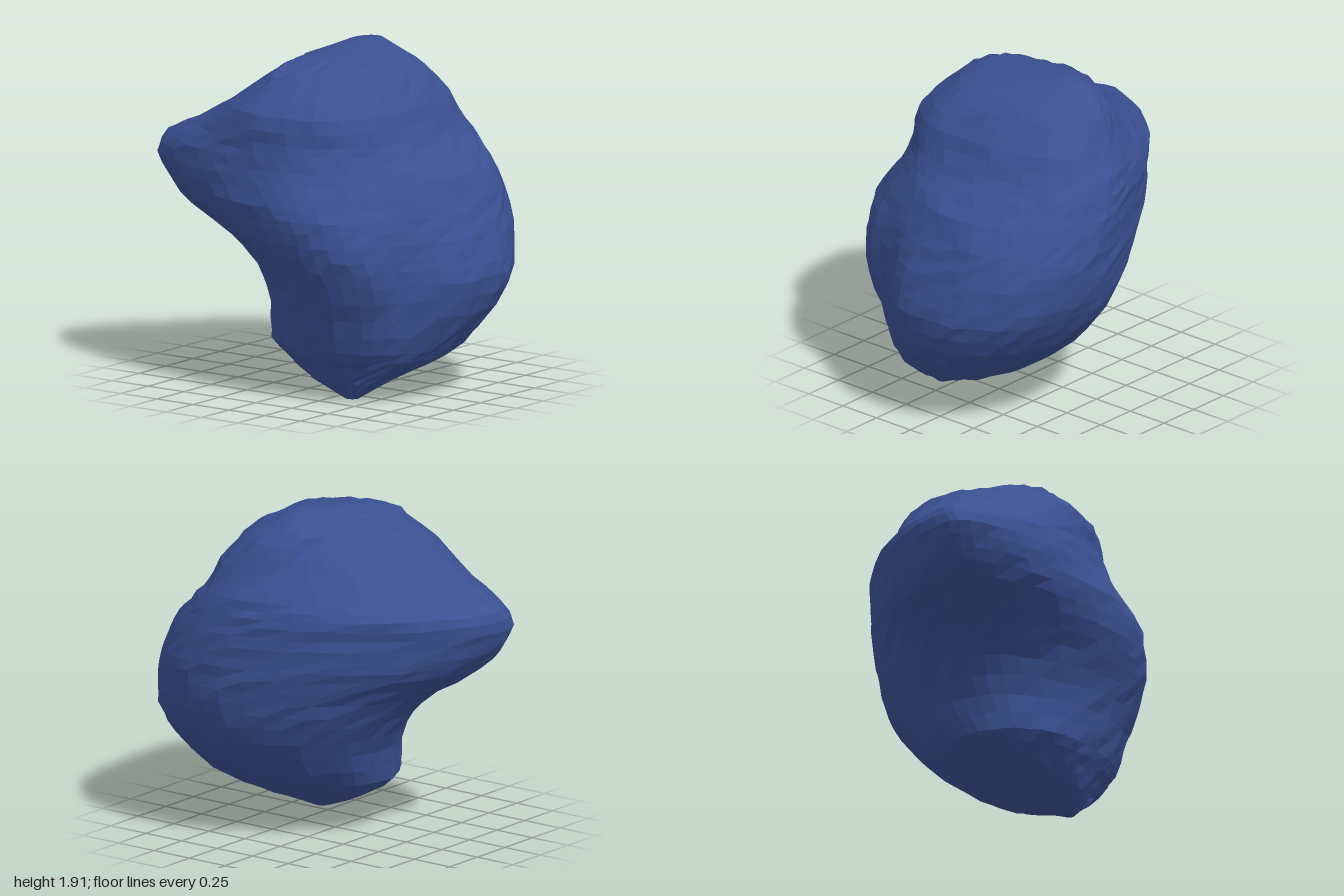
import * as THREE from 'three';

// Horizontal slices, bottom to top. Each gives its height and four extremes:
// y, left x,z, right x,z, front x,z, back x,z
const SLICES = [
  [0.0, -0.36, 0.35, -0.29, 0.35, -0.32, 0.39, -0.32, 0.31],
  [0.1, -0.45, 0.30, -0.05, 0.30, -0.24, 0.53, -0.22, 0.06],
  [0.2, -0.50, 0.32, 0.18, 0.29, -0.13, 0.71, -0.16, -0.14],
  [0.3, -0.56, 0.35, 0.36, 0.29, -0.06, 0.82, -0.08, -0.28],
  [0.5, -0.62, 0.36, 0.58, 0.30, 0.03, 0.95, -0.02, -0.33],
  [0.7, -0.70, 0.36, 0.71, 0.33, 0.10, 1.0, -0.04, -0.45],
  [0.85, -0.76, 0.32, 0.76, 0.35, 0.13, 0.96, -0.12, -0.60],
  [1.0, -0.78, 0.29, 0.78, 0.35, 0.19, 0.91, -0.23, -0.83],
  [1.12, -0.76, 0.21, 0.78, 0.31, 0.22, 0.85, -0.26, -0.94],
  [1.25, -0.70, 0.07, 0.77, 0.24, 0.17, 0.78, -0.28, -1.0],
  [1.36, -0.67, -0.06, 0.75, 0.18, 0.02, 0.67, -0.22, -0.97],
  [1.45, -0.65, -0.10, 0.72, 0.14, -0.10, 0.59, -0.17, -0.79],
  [1.6, -0.63, -0.08, 0.64, 0.10, -0.18, 0.52, -0.08, -0.55],
  [1.74, -0.47, -0.08, 0.56, 0.04, -0.09, 0.41, 0.0, -0.34],
  [1.82, -0.34, -0.08, 0.48, 0.0, 0.0, 0.29, 0.1, -0.24],
  [1.9, 0.16, 0.0, 0.38, 0.0, 0.27, 0.08, 0.26, -0.08],
];
// Corner shape by height: y, front left, front right, back left, back right
// (below 1 bulges the corner out, above 1 cuts it off)
const CORNERS = [
  [0.0, 1.0, 0.95, 0.95, 1.0],
  [0.3, 1.0, 0.88, 0.9, 1.05],
  [0.7, 1.0, 0.92, 1.22, 1.0],
  [1.0, 1.0, 0.98, 1.25, 1.15],
  [1.25, 0.92, 0.95, 1.12, 1.28],
  [1.4, 0.88, 0.75, 1.1, 1.28],
  [1.6, 0.97, 0.66, 1.1, 1.25],
  [1.95, 1.0, 0.9, 1.0, 1.0],
];
const SEGMENTS = 44, STEPS = 2;

// Smooth interpolation between slices
function sliceAt(i, t) {
  const at = k => SLICES[THREE.MathUtils.clamp(k, 0, SLICES.length - 1)];
  const [a, b, c, d] = [at(i - 1), at(i), at(i + 1), at(i + 2)];
  return b.map((_, k) => 0.5 * (2 * b[k] + (c[k] - a[k]) * t
    + (2 * a[k] - 5 * b[k] + 4 * c[k] - d[k]) * t * t
    + (3 * b[k] - a[k] - 3 * c[k] + d[k]) * t ** 3));
}

function cornerPower(y, column) {
  const i = Math.max(1, CORNERS.findIndex(row => row[0] > y));
  const low = CORNERS[i - 1], high = CORNERS[i];
  return THREE.MathUtils.mapLinear(y, low[0], high[0], low[column], high[column]);
}

// Point on a slice outline, made of four rounded quarters
function outlinePoint(slice, j) {
  const [y, lx, lz, rx, rz, fx, fz, bx, bz] = slice;
  const angle = j / SEGMENTS * Math.PI * 2;
  const s = Math.sin(angle), c = Math.cos(angle);
  const isRight = s >= 0, isFront = c >= 0;
  const power = cornerPower(y, (isFront ? 1 : 3) + (isRight ? 1 : 0));
  const [sx, sz] = isRight ? [rx, rz] : [lx, lz];
  const [ex, ez] = isFront ? [fx, fz] : [bx, bz];
  const x = ex + (sx - ex) * Math.abs(s) ** power;
  let z = sz + (ez - sz) * Math.abs(c) ** power;
  // Shallow hollow down the front
  if (isFront) z -= 0.1 * Math.exp(-(((x + 0.38) / 0.15) ** 2) - ((y - 0.72) / 0.3) ** 2);
  return [x, y, z];
}

export function createModel() {
  let seed = 7;
  const random = () => (seed = (seed * 16807) % 2147483647) / 2147483647 - 0.5;

  // Rings of slightly chipped points
  const positions = [], indices = [];
  const rings = (SLICES.length - 1) * STEPS + 1;
  for (let r = 0; r < rings; r++) {
    const slice = sliceAt(Math.floor(r / STEPS), (r % STEPS) / STEPS);
    const chip = r > 1 && r < rings - 2 ? 0.014 : 0;
    for (let j = 0; j < SEGMENTS; j++) {
      const [x, y, z] = outlinePoint(slice, j);
      positions.push(x + random() * chip, y + random() * chip, z + random() * chip);
    }
  }
  for (let r = 0; r < rings - 1; r++) {
    for (let j = 0; j < SEGMENTS; j++) {
      const k = (j + 1) % SEGMENTS;
      const a = r * SEGMENTS + j, b = r * SEGMENTS + k;
      const c = a + SEGMENTS, d = b + SEGMENTS;
      indices.push(a, b, d, a, d, c);
    }
  }

  // Close the bottom tip and the crown
  const bottom = positions.length / 3, top = bottom + 1, last = (rings - 1) * SEGMENTS;
  positions.push(-0.32, 0, 0.35, 0.28, 1.91, 0.03);
  for (let j = 0; j < SEGMENTS; j++) {
    const k = (j + 1) % SEGMENTS;
    indices.push(bottom, k, j, top, last + j, last + k);
  }

  const geometry = new THREE.BufferGeometry();
  geometry.setAttribute('position', new THREE.Float32BufferAttribute(positions, 3));
  geometry.setIndex(indices);
  geometry.computeVertexNormals();

  const rock = new THREE.Mesh(geometry,
    new THREE.MeshStandardMaterial({ color: 0x3a5092, flatShading: true }));
  rock.name = 'rock';
  const group = new THREE.Group();
  group.name = 'boulder';
  group.add(rock);
  return group;
}
